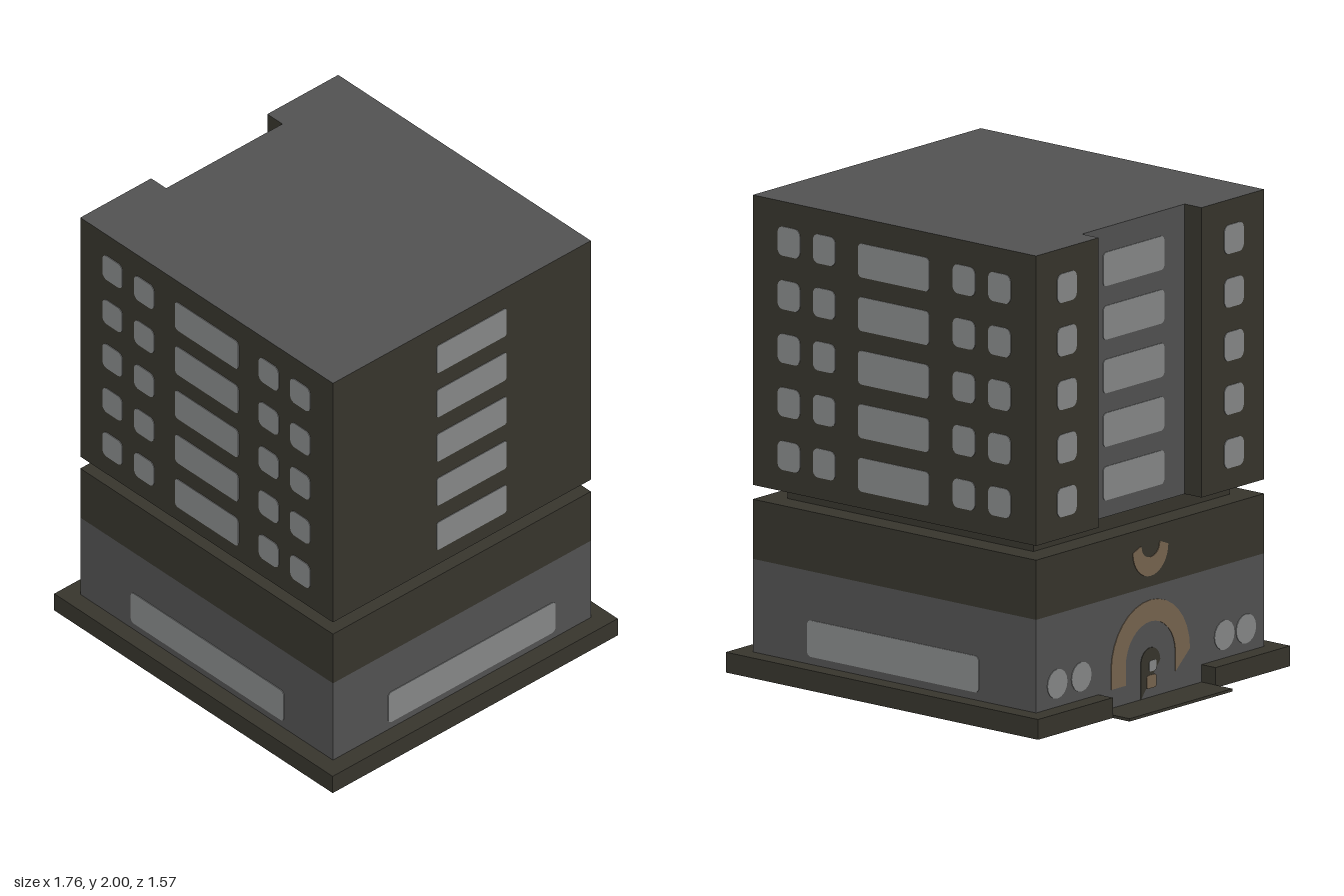
import * as THREE from 'three';

const mat = (name, color) => {
  const m = new THREE.MeshStandardMaterial({ color, side: THREE.DoubleSide });
  m.name = name;
  return m;
};

export function createModel() {
  const dark = mat('dark stone', 0x38362e);
  const grey = mat('grey concrete', 0x545454);
  const glass = mat('pale glass', 0x8a8c8c);
  const tan = mat('tan trim', 0x7a6852);

  const model = new THREE.Group();
  model.name = 'building';
  const add = (name, geometry, material, parent = model) => {
    const mesh = new THREE.Mesh(geometry, material);
    mesh.name = name;
    parent.add(mesh);
    return mesh;
  };

  // Plan outlines as [x, z] corners
  const rect = (x0, x1, z) => [[x0, -z], [x1, -z], [x1, z], [x0, z]];
  const notched = (x0, x1, z, xn, zn) =>
    [[xn, -zn], [x0, -zn], [x0, -z], [x1, -z], [x1, z], [x0, z], [x0, zn], [xn, zn]];
  const toPath = (pts, Type) => new Type(pts.map(p => new THREE.Vector2(...p)));

  // Upright walls along an outline; open chains skip the closing wall
  function walls(name, pts, y0, y1, material, closed = true) {
    const pos = [];
    const n = closed ? pts.length : pts.length - 1;
    for (let i = 0; i < n; i++) {
      const [ax, az] = pts[i], [bx, bz] = pts[(i + 1) % pts.length];
      pos.push(ax, y0, az, ax, y1, az, bx, y1, bz, ax, y0, az, bx, y1, bz, bx, y0, bz);
    }
    const g = new THREE.BufferGeometry();
    g.setAttribute('position', new THREE.Float32BufferAttribute(pos, 3));
    g.computeVertexNormals();
    return add(name, g, material);
  }

  // Horizontal sheet facing up or down, with an optional hole
  function sheet(name, pts, y, material, hole, up = true) {
    const shape = toPath(pts, THREE.Shape);
    if (hole) shape.holes.push(toPath(hole, THREE.Path));
    const g = new THREE.ShapeGeometry(shape);
    g.rotateX(Math.PI / 2);
    if (up) {
      const idx = g.index.array;
      for (let i = 0; i < idx.length; i += 3) [idx[i], idx[i + 1]] = [idx[i + 1], idx[i]];
      g.computeVertexNormals();
    }
    g.translate(0, y, 0);
    return add(name, g, material);
  }

  const body = rect(-0.715, 0.8, 0.71);
  const neck = rect(-0.615, 0.7, 0.61);
  const tower = notched(-0.715, 0.8, 0.71, -0.625, 0.32);
  const base = notched(-0.79, 0.88, 0.785, -0.715, 0.32);

  // Plinth, open below, cut away at the entrance
  walls('plinthSides', base, 0, 0.085, dark, false);
  walls('entranceSill', [[-0.715, -0.32], [-0.715, 0.32]], 0, 0.085, grey, false);
  sheet('plinthTop', [...base, body[3], body[2], body[1], body[0]], 0.085, dark);
  const step = add('entranceStep', new THREE.BoxGeometry(0.165, 0.012, 0.64), dark);
  step.position.set(-0.7975, 0.006, 0);

  // Ground floor, recessed neck and tower shell
  walls('groundFloorWalls', body, 0.085, 0.475, grey);
  walls('upperBand', body, 0.475, 0.725, dark);
  sheet('bandLedge', body, 0.725, dark, neck);
  walls('neckWalls', neck, 0.725, 0.785, dark);
  sheet('towerUnderside', tower, 0.785, dark, neck, false);
  walls('towerWalls', tower, 0.785, 2, dark, false);
  walls('recessWall', [[-0.625, -0.32], [-0.625, 0.32]], 0.785, 2, grey, false);
  sheet('roof', tower, 2, grey);

  // Wall groups: plates are drawn in local x, y and centred on the wall plane
  const wallGroup = (name, axis, offset) => {
    const g = new THREE.Group();
    g.name = name;
    if (axis === 'x') g.rotation.y = -Math.PI / 2; // local x becomes z
    g.position[axis] = offset;
    model.add(g);
    return g;
  };
  const plate = (name, shape, material, parent, depth = 0.006) => {
    const g = new THREE.ExtrudeGeometry(shape, { depth, bevelEnabled: false, curveSegments: 8 });
    g.translate(0, 0, -depth / 2);
    return add(name, g, material, parent);
  };
  function rounded(x0, x1, y0, y1, r = 0.02) {
    const s = new THREE.Shape();
    s.absarc(x1 - r, y1 - r, r, 0, Math.PI / 2);
    s.absarc(x0 + r, y1 - r, r, Math.PI / 2, Math.PI);
    s.absarc(x0 + r, y0 + r, r, Math.PI, Math.PI * 1.5);
    s.absarc(x1 - r, y0 + r, r, Math.PI * 1.5, Math.PI * 2);
    s.closePath();
    return s;
  }

  const front = wallGroup('frontWindows', 'z', 0.71);
  const back = wallGroup('backWindows', 'z', -0.71);
  const left = wallGroup('leftWindows', 'x', 0.8);
  const entrance = wallGroup('entranceSide', 'x', -0.715);
  const recess = wallGroup('recessWindows', 'x', -0.625);

  // Five storeys of windows
  for (let i = 0; i < 5; i++) {
    const y = 0.855 + i * 0.2245;
    for (const side of [front, back]) {
      plate('wideWindow', rounded(-0.145, 0.235, y, y + 0.142), glass, side);
      for (const x of [-0.58, -0.39, 0.357, 0.546])
        plate('smallWindow', rounded(x, x + 0.119, y + 0.02, y + 0.142, 0.028), glass, side);
    }
    plate('wideWindow', rounded(-0.243, 0.14, y + 0.005, y + 0.145, 0.012), glass, left);
    plate('wideWindow', rounded(-0.19, 0.19, y, y + 0.142), glass, recess);
    for (const z of [-0.58, 0.46])
      plate('smallWindow', rounded(z, z + 0.12, y + 0.02, y + 0.142, 0.028), glass, entrance);
  }

  // Ground floor windows
  for (const side of [front, back])
    plate('shopWindow', rounded(-0.41, 0.507, 0.117, 0.27), glass, side);
  plate('shopWindow', rounded(-0.513, 0.408, 0.117, 0.27), glass, left);
  for (const z of [-0.58, -0.43, 0.46, 0.595]) {
    const s = new THREE.Shape();
    s.absarc(z, 0.182, 0.062, 0, Math.PI * 2);
    plate('roundWindow', s, glass, entrance);
  }

  // Entrance arch, door and crescent ornament
  const arch = new THREE.Shape();
  arch.moveTo(0.245, 0.09);
  arch.absellipse(0, 0.17, 0.245, 0.25, 0, Math.PI);
  arch.lineTo(-0.245, 0.09);
  arch.lineTo(-0.155, 0.09);
  arch.absellipse(0, 0.17, 0.155, 0.16, Math.PI, 0, true);
  arch.lineTo(0.155, 0.09);
  plate('entranceArch', arch, tan, entrance);

  const door = new THREE.Shape();
  door.moveTo(0.06, 0.012);
  door.absarc(0, 0.16, 0.06, 0, Math.PI);
  door.lineTo(-0.06, 0.012);
  plate('door', door, dark, entrance);
  plate('doorPanel', rounded(-0.025, 0.035, 0.05, 0.105, 0.01), tan, entrance, 0.009);
  plate('doorGlass', rounded(-0.01, 0.035, 0.12, 0.165, 0.01), glass, entrance, 0.009);

  const crescent = new THREE.Shape();
  crescent.absellipse(0, 0.635, 0.11, 0.115, Math.PI, Math.PI * 2);
  crescent.lineTo(0.06, 0.655);
  crescent.absellipse(0, 0.645, 0.055, 0.045, 0, Math.PI, true);
  crescent.lineTo(-0.06, 0.655);
  plate('crescentOrnament', crescent, tan, entrance);

  return model;
}
